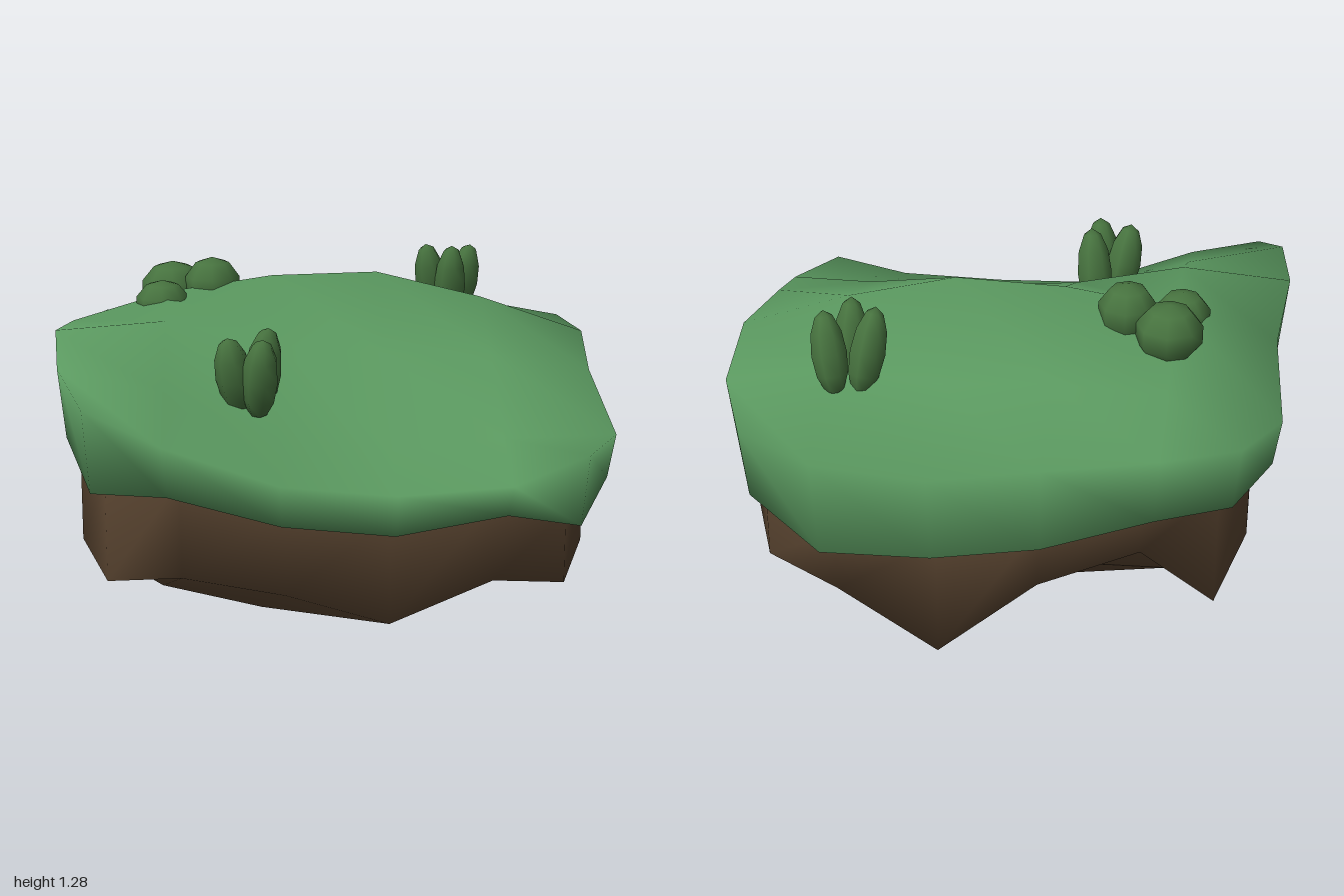
import * as THREE from 'three';

const N = 6;

// Heights, rows running from back to front, columns from -x to +x
const GRASS_TOP = [
  [0.96, 0.93, 0.88, 0.79, 0.84, 0.90],
  [0.95, 1.02, 1.04, 1.01, 1.04, 0.97],
  [1.05, 1.16, 1.22, 1.23, 1.13, 0.99],
  [1.10, 1.13, 1.04, 1.00, 0.99, 0.93],
  [1.05, 0.96, 0.79, 0.74, 0.78, 0.79],
  [0.96, 0.85, 0.70, 0.67, 0.69, 0.78],
];
const DIRT_BOTTOM = [
  [0.30, 0.53, 0.36, 0.04, 0.28, 0.36],
  [0.42, 0.28, 0.27, 0.17, 0.20, 0.40],
  [0.40, 0.12, 0.00, 0.16, 0.34, 0.59],
  [0.37, 0.12, 0.05, 0.20, 0.27, 0.28],
  [0.40, 0.20, 0.11, 0.18, 0.27, 0.37],
  [0.33, 0.36, 0.29, 0.18, 0.335, 0.30],
];

// Rim cells in order: front, right, back, left
const RIM = [];
for (let k = 0; k < N - 1; k++) RIM.push([k, N - 1]);
for (let k = N - 1; k > 0; k--) RIM.push([N - 1, k]);
for (let k = N - 1; k > 0; k--) RIM.push([k, 0]);
for (let k = 0; k < N - 1; k++) RIM.push([0, k]);

// Height of the hanging grass edge along the rim
const LIP = [
  0.66, 0.67, 0.55, 0.52, 0.58,
  0.52, 0.63, 0.85, 0.84, 0.80,
  0.63, 0.47, 0.46, 0.55, 0.68,
  0.72, 0.77, 0.71, 0.86, 0.80,
];

// Rounded-square plan with a wavy grass outline
function grassPlan(i, j) {
  const x = -1 + 0.4 * i, z = -1 + 0.4 * j;
  const sideX = i === 0 || i === N - 1, sideZ = j === 0 || j === N - 1;
  if (sideX && sideZ) return [x * 0.87, z * 0.83];
  const odd = (i + j) % 2;
  if (sideX) return [x * (odd ? 1 : 0.965), z];
  if (sideZ) return [x, z * (odd ? 0.895 : 0.925)];
  return [x, z];
}

// Earth plan: straight sides, cut corners, inner points pushed slightly off centre
function dirtPlan(i, j) {
  const x = -1 + 0.4 * i, z = -1 + 0.4 * j;
  const sideX = i === 0 || i === N - 1, sideZ = j === 0 || j === N - 1;
  if (sideX && sideZ) return [x * 0.8, z * 0.77];
  if (sideX || sideZ) return [x * 0.9, z * 0.84];
  return [x * 0.9 - 0.08, z * 0.84 - 0.05];
}

// Height grid whose rim continues into rings of points
function shell(plan, heights, rings, up) {
  const pos = [], idx = [];
  for (let j = 0; j < N; j++) {
    for (let i = 0; i < N; i++) {
      const [x, z] = plan(i, j);
      pos.push(x, heights[j][i], z);
    }
  }
  const quad = (a, b, c, d) => (up ? idx.push(a, b, c, a, c, d) : idx.push(a, c, b, a, d, c));
  for (let j = 0; j < N - 1; j++) {
    for (let i = 0; i < N - 1; i++) {
      const a = j * N + i;
      quad(a, a + N, a + N + 1, a + 1);
    }
  }
  let previous = RIM.map(([i, j]) => j * N + i);
  for (const ring of rings) {
    const current = RIM.map(([i, j], k) => {
      const [x, z] = plan(i, j);
      pos.push(x * ring.scale, ring.y(k), z * ring.scale);
      return pos.length / 3 - 1;
    });
    current.forEach((c, k) => {
      const n = (k + 1) % RIM.length;
      quad(previous[k], c, current[n], previous[n]);
    });
    previous = current;
  }
  const geometry = new THREE.BufferGeometry();
  geometry.setAttribute('position', new THREE.Float32BufferAttribute(pos, 3));
  geometry.setIndex(idx);
  geometry.computeVertexNormals();
  return geometry;
}

function addMesh(parent, name, geometry, material) {
  const mesh = new THREE.Mesh(geometry, material);
  mesh.name = name;
  parent.add(mesh);
  return mesh;
}

export function createModel() {
  const model = new THREE.Group();
  model.name = 'grassyTerrainBlock';
  const grass = new THREE.MeshStandardMaterial({ color: 0x5a985f, side: THREE.DoubleSide });
  const dirt = new THREE.MeshStandardMaterial({ color: 0x5e4833, side: THREE.DoubleSide });
  const leaf = new THREE.MeshStandardMaterial({ color: 0x47733f });

  // Grass cap with a hanging lip that tucks under
  addMesh(model, 'grassCap', shell(grassPlan, GRASS_TOP, [
    { scale: 0.975, y: (k) => LIP[k] },
    { scale: 0.86, y: (k) => LIP[k] + 0.05 },
  ], true), grass);

  // Earth body with an uneven underside
  addMesh(model, 'earthBase', shell(dirtPlan, DIRT_BOTTOM, [
    { scale: 1, y: (k) => LIP[k] + 0.04 },
  ], false), dirt);

  // Round bushes: x, y, z, radius, half height
  const bushes = new THREE.Group();
  bushes.name = 'roundBushes';
  model.add(bushes);
  for (const [x, y, z, r, h] of [
    [-0.585, 1.14, -0.355, 0.125, 0.11],
    [-0.43, 1.17, -0.27, 0.110, 0.11],
    [-0.62, 1.12, -0.17, 0.105, 0.09],
  ]) {
    const bush = addMesh(bushes, 'bush', new THREE.SphereGeometry(1, 8, 5), leaf);
    bush.position.set(x, y, z);
    bush.scale.set(r, h, r);
  }

  // Clusters of upright leaf buds, tilted forward and spreading: x, z, height
  const clusters = [
    { y: 0.99, r: 0.068, buds: [[-0.35, 0.50, 0.31], [-0.245, 0.405, 0.34], [-0.26, 0.54, 0.31]] },
    { y: 1.115, r: 0.064, buds: [[0.45, -0.59, 0.33], [0.58, -0.62, 0.31], [0.52, -0.53, 0.33]] },
  ];
  for (const { y, r, buds } of clusters) {
    const plant = new THREE.Group();
    plant.name = 'leafBudCluster';
    model.add(plant);
    const cx = buds.reduce((s, b) => s + b[0], 0) / 3;
    for (const [x, z, h] of buds) {
      const bud = addMesh(plant, 'leafBud', new THREE.SphereGeometry(1, 7, 6), leaf);
      bud.position.set(x, y, z);
      bud.scale.set(r, h / 2, r);
      bud.rotation.set(0.24, 0, -(x - cx) * 2.5);
    }
  }
  return model;
}
